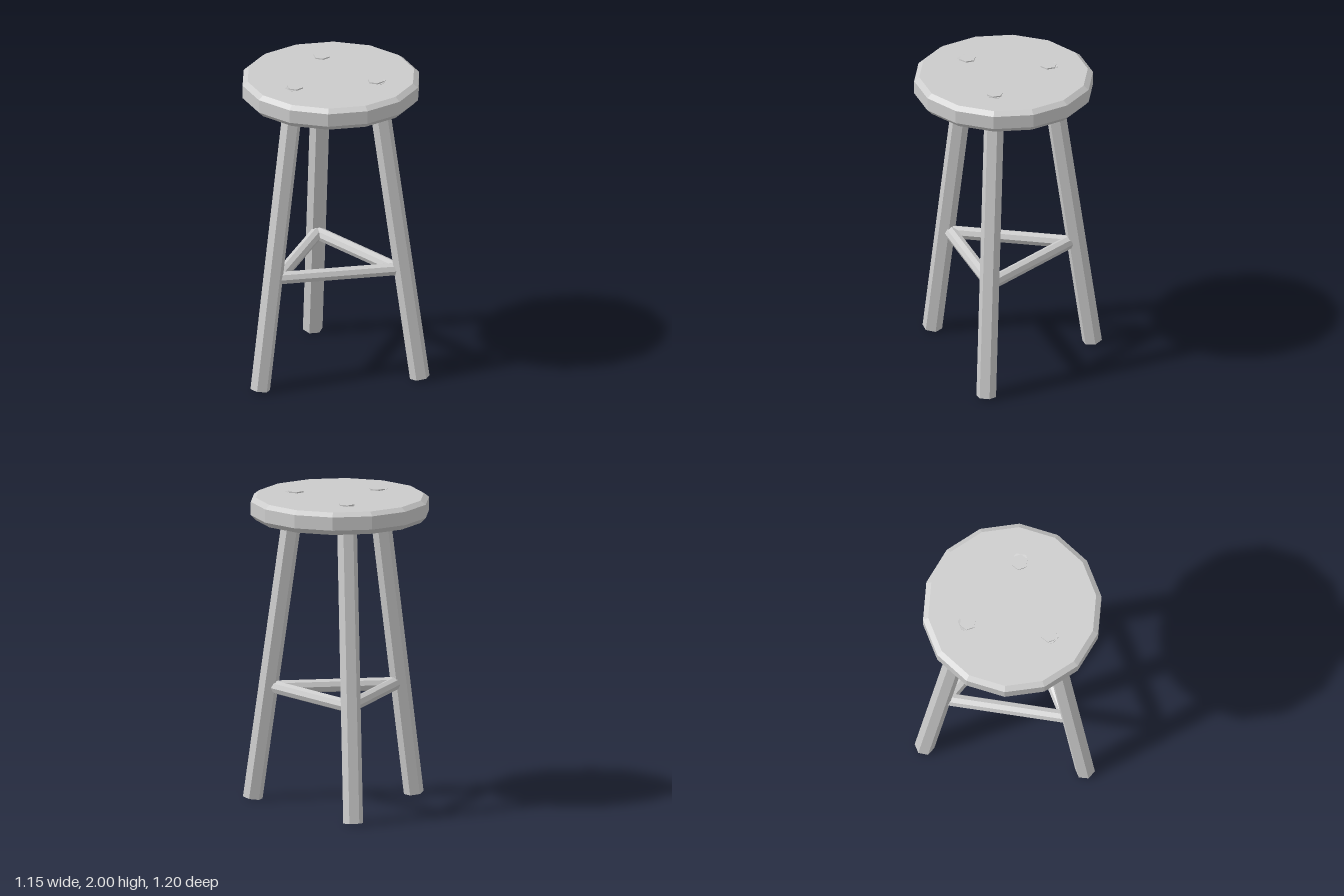
import * as THREE from 'three';

const material = new THREE.MeshStandardMaterial({ color: 0xcccccc, flatShading: true });

function addPart(parent, name, geometry) {
  const mesh = new THREE.Mesh(geometry, material);
  mesh.name = name;
  parent.add(mesh);
  return mesh;
}

export function createModel() {
  const stool = new THREE.Group();
  stool.name = 'stool';

  // Everything radiates from the seat's axis, slightly ahead of the origin
  const body = new THREE.Group();
  body.name = 'body';
  body.position.z = 0.05;
  stool.add(body);

  // Fourteen-sided seat with chamfered rims
  const profile = [
    [0, 1.848], [0.533, 1.848], [0.566, 1.882], [0.566, 1.967], [0.533, 1.992], [0, 1.992],
  ].map(([x, y]) => new THREE.Vector2(x, y));
  addPart(body, 'seat', new THREE.LatheGeometry(profile, 14, Math.PI / 2));

  // Splayed leg axis, from foot to top, in the radial plane
  const foot = new THREE.Vector3(0.59, 0.008, 0);
  const top = new THREE.Vector3(0.3, 1.987, 0);
  const axis = top.clone().sub(foot);
  const railRadius = 0.44;

  ['back', 'right', 'left'].forEach((side, i) => {
    const sector = new THREE.Group();
    sector.name = `${side}Sector`;
    sector.rotation.y = Math.PI / 2 + (i * Math.PI * 2) / 3;
    body.add(sector);

    // Hexagonal leg, cut square at both ends
    const leg = addPart(sector, `${side}Leg`, new THREE.CylinderGeometry(0.063, 0.063, axis.length(), 6));
    leg.position.copy(foot).add(top).multiplyScalar(0.5);
    leg.quaternion.setFromUnitVectors(new THREE.Vector3(0, 1, 0), axis.clone().normalize());

    // Hexagonal peg showing on the seat
    const peg = addPart(sector, `${side}Peg`, new THREE.CylinderGeometry(0.053, 0.053, 0.1, 6));
    peg.position.set(0.299, 1.95, 0);
    peg.rotation.y = Math.PI / 6;

    // Stretcher joining the two other legs
    const rail = addPart(sector, `${side}OppositeStretcher`,
      new THREE.CylinderGeometry(0.042, 0.042, railRadius * Math.sqrt(3), 8));
    rail.position.set(-railRadius / 2, 0.727, 0);
    rail.rotation.x = Math.PI / 2;
  });

  return stool;
}
